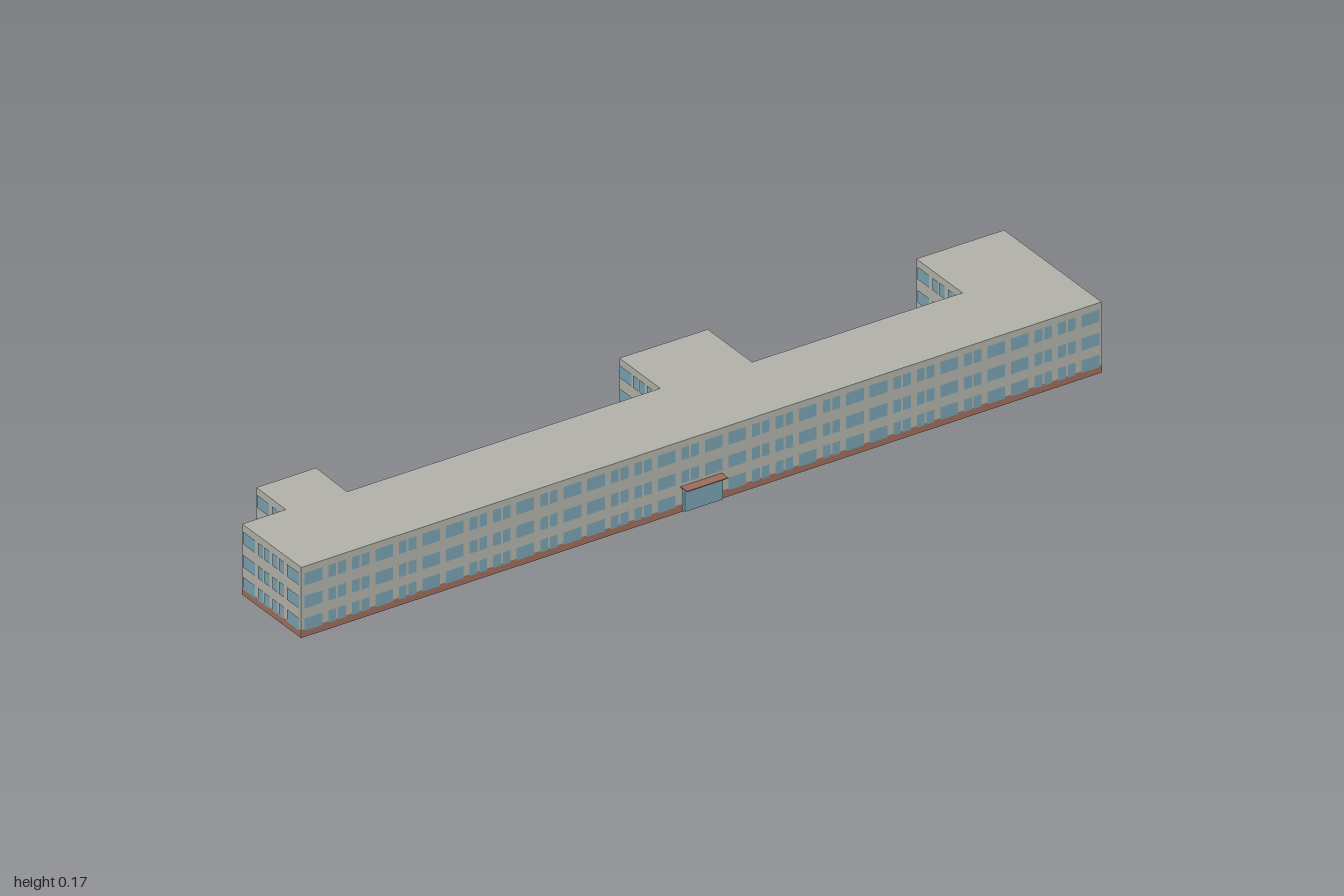
import * as THREE from 'three';
import { mergeGeometries } from 'three/addons/utils/BufferGeometryUtils.js';

const mat = (name, color, side = THREE.FrontSide) => {
  const m = new THREE.MeshStandardMaterial({ color, side });
  m.name = name;
  return m;
};

// Footprint corners (x, z), walking along the front first
const FOOTPRINT = [
  [-0.936, 0.464], [1.0, -0.115], [0.894, -0.466], [0.682, -0.404], [0.732, -0.238],
  [0.224, -0.088], [0.176, -0.248], [-0.037, -0.186], [0.007, -0.038], [-0.75, 0.186],
  [-0.782, 0.070], [-0.926, 0.113], [-0.895, 0.220], [-1.0, 0.252],
];
const HEIGHT = 0.17, PLINTH = 0.019, BAY = 0.0595;
const FLOORS = [0.0305, 0.084, 0.140];           // window centre heights
const PAIRED = [false, true, true, false, true, false]; // bay rhythm

const pane = (w, h, x, y, z) => new THREE.PlaneGeometry(w, h).translate(x, y, z);

export function createModel() {
  const wallMat = mat('wall grey', 0xb0b0a8, THREE.DoubleSide);
  const brick = mat('brick', 0x9a6c5a);
  const glass = mat('glass blue', 0x78a0ae);

  const building = new THREE.Group();
  building.name = 'building';
  const add = (parent, name, geometry, material) => {
    const mesh = new THREE.Mesh(geometry, material);
    mesh.name = name;
    parent.add(mesh);
    return mesh;
  };

  // Flat roof; the shell is open underneath
  const outline = new THREE.Shape(FOOTPRINT.map(([x, z]) => new THREE.Vector2(x, -z)));
  const roof = new THREE.ShapeGeometry(outline).rotateX(-Math.PI / 2).translate(0, HEIGHT, 0);
  add(building, 'roof', roof, wallMat);

  // One facade per footprint edge, local x along the wall and z outward
  const facades = FOOTPRINT.map(([x0, z0], i) => {
    const [x1, z1] = FOOTPRINT[(i + 1) % FOOTPRINT.length];
    const length = Math.hypot(x1 - x0, z1 - z0);
    const facade = new THREE.Group();
    facade.name = 'facade' + (i + 1);
    facade.position.set(x0, 0, z0);
    facade.rotation.y = Math.atan2(z0 - z1, x1 - x0);
    building.add(facade);

    add(facade, 'wall', pane(length, HEIGHT, length / 2, HEIGHT / 2, 0), wallMat);
    add(facade, 'plinth', pane(length, PLINTH, length / 2, PLINTH / 2, 0.001), brick);

    // Wide windows alternate with pairs of narrow ones
    const bays = Math.max(1, Math.round(length / BAY));
    const pitch = length / bays;
    const panes = [];
    for (let b = 0; b < bays; b++) {
      const x = (b + 0.5) * pitch;
      for (const y of FLOORS) {
        if (PAIRED[b % PAIRED.length]) {
          for (const s of [-1, 1]) panes.push(pane(0.0195, 0.03, x + s * 0.0122, y, 0.002));
        } else {
          panes.push(pane(0.0445, 0.03, x, y, 0.002));
        }
      }
    }
    add(facade, 'windows', mergeGeometries(panes), glass);
    return facade;
  });

  // Glazed entrance with a thin canopy in the middle of the front
  const front = facades[0], mid = 1.01;
  add(front, 'entrance', new THREE.BoxGeometry(0.096, 0.055, 0.011), glass)
    .position.set(mid, 0.0315, 0.0055);
  add(front, 'canopy', new THREE.BoxGeometry(0.104, 0.002, 0.024), brick)
    .position.set(mid, 0.06, 0.012);

  return building;
}
